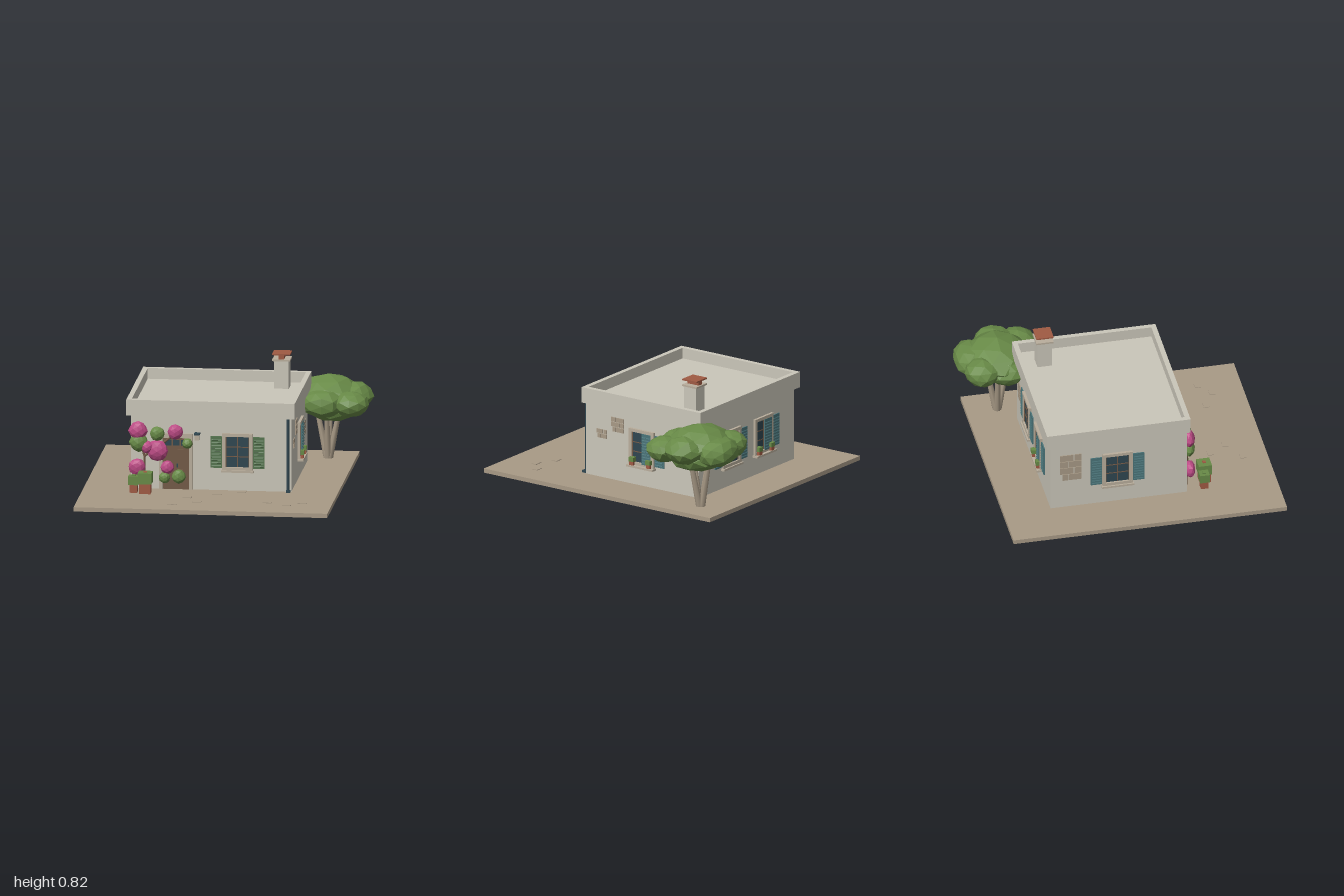
import * as THREE from 'three';

const mat = (name, color, flat = false) => {
  const m = new THREE.MeshStandardMaterial({ color, flatShading: flat });
  m.name = name;
  return m;
};

export function createModel() {
  const model = new THREE.Group();
  model.name = 'house';
  const wall = mat('plaster', 0xcac6b9), stone = mat('earthStone', 0xa89a86);
  const trim = mat('trim', 0xb9ae9c), glass = mat('darkGlass', 0x2f4650);
  const wood = mat('wood', 0x735a47), clay = mat('terracotta', 0xa05a43);
  const leaf = mat('leaf', 0x688a47, true), pink = mat('blossom', 0xbb4a84, true);
  const green = mat('greenPaint', 0x55754f), teal = mat('tealPaint', 0x4a7479);

  const add = (name, geo, m, parent = model) => {
    const mesh = new THREE.Mesh(geo, m);
    mesh.name = name;
    parent.add(mesh);
    return mesh;
  };
  // Box given by its lower and upper corners
  const box = (name, m, x0, x1, y0, y1, z0, z1, parent = model) => {
    const b = add(name, new THREE.BoxGeometry(x1 - x0, y1 - y0, z1 - z0), m, parent);
    b.position.set((x0 + x1) / 2, (y0 + y1) / 2, (z0 + z1) / 2);
    return b;
  };
  // Faceted, slightly irregular ball
  const blob = (name, m, p, r, seed, detail = 1) => {
    const g = new THREE.IcosahedronGeometry(1, detail), a = g.attributes.position;
    const v = new THREE.Vector3();
    for (let i = 0; i < a.count; i++) {
      v.fromBufferAttribute(a, i);
      const n = Math.sin(v.x * 5.3 + seed) + Math.sin(v.y * 6.1 + seed * 2) + Math.sin(v.z * 4.7 + seed * 3);
      v.multiplyScalar(1 + n * 0.03);
      a.setXYZ(i, v.x, v.y, v.z);
    }
    g.scale(...r);
    g.computeVertexNormals();
    add(name, g, m).position.set(...p);
  };
  // Tapered rod between two points
  const rod = (name, m, a, b, r0, r1) => {
    const A = new THREE.Vector3(...a), B = new THREE.Vector3(...b), d = B.clone().sub(A);
    const c = add(name, new THREE.CylinderGeometry(r1, r0, d.length(), 7), m);
    c.position.copy(A).add(B).multiplyScalar(0.5);
    c.quaternion.setFromUnitVectors(new THREE.Vector3(0, 1, 0), d.normalize());
  };

  // Ground, with loose flat paving corners
  box('ground', stone, -0.935, 0.805, 0, 0.03, -0.905, 1);
  [[-0.28, 0.83], [-0.12, 0.74], [-0.01, 0.5], [0.15, 0.42], [0.36, 0.71], [0.6, 0.7], [-0.2, 0.62], [0.5, 0.78]]
    .forEach(([x, z]) => box('pavingStone', stone, x - 0.03, x + 0.03, 0.03, 0.034, z - 0.02, z + 0.02));

  // Walls, roof and parapet
  box('walls', wall, -0.615, 0.485, 0.03, 0.54, -0.58, 0.37);
  box('roof', wall, -0.62, 0.485, 0.54, 0.575, -0.585, 0.365);
  const rect = (P, x0, x1, y0, y1) => {
    const s = new P();
    s.moveTo(x0, y0).lineTo(x1, y0).lineTo(x1, y1).lineTo(x0, y1).closePath();
    return s;
  };
  // moveTo/lineTo return the path, so each outline is built in one chain
  const ring = rect(THREE.Shape, -0.645, 0.51, -0.39, 0.61);
  ring.holes.push(rect(THREE.Path, -0.61, 0.475, -0.355, 0.575));
  const parapet = add('parapet', new THREE.ExtrudeGeometry(ring, { depth: 0.11, bevelEnabled: false }), wall);
  parapet.rotation.x = -Math.PI / 2;
  parapet.position.y = 0.54;

  // Chimney
  box('chimneyStack', wall, 0.28, 0.38, 0.57, 0.77, -0.48, -0.38);
  box('chimneySlab', trim, 0.267, 0.39, 0.768, 0.78, -0.49, -0.37);
  box('chimneyPot', clay, 0.31, 0.347, 0.78, 0.812, -0.478, -0.382);
  box('chimneyCap', clay, 0.267, 0.39, 0.81, 0.82, -0.49, -0.37);

  // Shutter with slats, in window coordinates
  const shutter = (g, m, x0, x1, z) => {
    box('shutterPanel', m, x0, x1, 0.187, 0.407, z, z + 0.008, g);
    for (let i = 0; i < 10; i++) {
      const s = box('shutterSlat', m, x0 + 0.007, x1 - 0.007, 0.2 + i * 0.02, 0.206 + i * 0.02, z + 0.006, z + 0.013, g);
      s.rotation.x = -0.4;
    }
  };
  // Window: x to the viewer's right, z out of the wall
  const windowAt = (x, z, turn, paint, halfClosed = false) => {
    const g = new THREE.Group();
    g.name = 'window';
    g.position.set(x, 0, z);
    g.rotation.y = turn;
    model.add(g);
    box('glassPane', glass, -0.085, 0.085, 0.19, 0.41, 0, 0.006, g);
    for (const s of [-1, 1]) {
      box('frameSide', trim, s * 0.093 - 0.012, s * 0.093 + 0.012, 0.175, 0.43, 0, 0.018, g);
      box('sashSide', wood, s * 0.079 - 0.003, s * 0.079 + 0.003, 0.19, 0.41, 0, 0.01, g);
    }
    box('frameTop', trim, -0.105, 0.105, 0.408, 0.43, 0, 0.019, g);
    box('frameBottom', trim, -0.105, 0.105, 0.172, 0.195, 0, 0.019, g);
    box('windowSill', trim, -0.112, 0.112, 0.16, 0.174, 0, halfClosed ? 0.042 : 0.03, g);
    box('mullion', wood, -0.004, 0.004, 0.195, 0.41, 0, 0.01, g);
    for (const y of [0.268, 0.335]) box('glazingBar', wood, -0.08, 0.08, y - 0.003, y + 0.003, 0, 0.009, g);
    shutter(g, paint, 0.107, 0.186, 0.002);
    if (halfClosed) {
      shutter(g, paint, 0.003, 0.081, 0.012);
      for (const px of [-0.07, 0.07]) {
        box('sillPot', clay, px - 0.016, px + 0.016, 0.174, 0.2, 0.008, 0.038, g);
        box('sillPlant', leaf, px - 0.02, px + 0.02, 0.2, 0.23, 0.005, 0.042, g);
      }
    } else shutter(g, paint, -0.186, -0.107, 0.002);
  };
  windowAt(0.117, 0.37, 0, green);
  windowAt(0.485, -0.106, Math.PI / 2, teal, true);
  windowAt(0.12, -0.58, Math.PI, teal);
  windowAt(-0.25, -0.58, Math.PI, teal, true);
  windowAt(-0.615, -0.115, -Math.PI / 2, teal);

  // Patches of bare stone: rows of thin blocks on a wall
  const patch = (x, z, turn, w, y0, y1, rows) => {
    const g = new THREE.Group();
    g.name = 'bareStonePatch';
    g.position.set(x, 0, z);
    g.rotation.y = turn;
    model.add(g);
    const h = (y1 - y0) / rows;
    for (let i = 0; i < rows; i++) {
      const split = (i % 2 ? 0.15 : -0.12) * w, inset = i === 0 ? 0.12 * w : 0;
      box('stoneBlock', stone, -w / 2 + inset, split - 0.003, y0 + i * h, y0 + (i + 1) * h - 0.004, 0, 0.006, g);
      box('stoneBlock', stone, split + 0.003, w / 2, y0 + i * h, y0 + (i + 1) * h - 0.004, 0, 0.006, g);
    }
  };
  patch(0.485, 0.237, Math.PI / 2, 0.086, 0.31, 0.375, 2);
  patch(0.485, 0.103, Math.PI / 2, 0.106, 0.375, 0.48, 3);
  patch(0.485, -0.388, Math.PI / 2, 0.118, 0.258, 0.36, 3);
  patch(0.375, -0.58, Math.PI, 0.13, 0.25, 0.38, 3);
  patch(-0.615, -0.44, -Math.PI / 2, 0.15, 0.25, 0.46, 4);

  // Door with frame, top lights and handle
  box('door', wood, -0.395, -0.215, 0.03, 0.39, 0.36, 0.376);
  box('doorFrameLeft', trim, -0.215, -0.19, 0.03, 0.42, 0.36, 0.39);
  box('doorFrameRight', trim, -0.42, -0.395, 0.03, 0.42, 0.36, 0.39);
  box('doorFrameTop', trim, -0.42, -0.19, 0.39, 0.42, 0.36, 0.39);
  for (const x of [-0.38, -0.325, -0.27]) box('doorLight', glass, x, x + 0.045, 0.335, 0.375, 0.375, 0.38);
  for (const y of [0.06, 0.2]) for (const x of [-0.378, -0.295])
    box('doorPanel', wood, x, x + 0.065, y, y + 0.11, 0.375, 0.381);
  box('doorHandle', glass, -0.3, -0.29, 0.185, 0.21, 0.375, 0.392);

  // Wall lamp
  box('lampBody', trim, -0.172, -0.142, 0.385, 0.42, 0.385, 0.42);
  box('lampCap', glass, -0.177, -0.139, 0.42, 0.43, 0.37, 0.427);

  // Downpipe
  rod('downpipe', glass, [0.464, 0.04, 0.385], [0.464, 0.54, 0.385], 0.01, 0.01);
  box('downpipeFoot', glass, 0.452, 0.48, 0.03, 0.045, 0.372, 0.41);

  // Climbing plant beside the door
  [[-0.525, 0.03, -0.52, 0.26], [-0.52, 0.26, -0.56, 0.4], [-0.52, 0.26, -0.42, 0.33], [-0.42, 0.33, -0.31, 0.42]]
    .forEach(([a, b, c, d]) => rod('vineStem', wood, [a, b, 0.385], [c, d, 0.39], 0.009, 0.007));
  const climber = (m, name, list) => list.forEach(([x, y, r], i) =>
    blob(name, m, [x, y, 0.395 + (i % 2) * 0.004], [r, r, 0.034 + r * 0.08], i * 1.7 + 1));
  climber(pink, 'blossomCluster', [[-0.563, 0.435, 0.065], [-0.308, 0.435, 0.053], [-0.43, 0.3, 0.072],
    [-0.568, 0.185, 0.06], [-0.362, 0.185, 0.048], [-0.5, 0.325, 0.045]]);
  climber(leaf, 'leafCluster', [[-0.558, 0.355, 0.065], [-0.432, 0.42, 0.05], [-0.225, 0.355, 0.036],
    [-0.38, 0.115, 0.04], [-0.284, 0.122, 0.05]]);

  // Potted shrubs
  box('smallPot', clay, -0.608, -0.555, 0.03, 0.087, 0.47, 0.522);
  box('smallShrub', leaf, -0.617, -0.548, 0.085, 0.145, 0.463, 0.53);
  box('smallShrubTip', leaf, -0.595, -0.57, 0.145, 0.153, 0.485, 0.508);
  box('largePot', clay, -0.538, -0.46, 0.03, 0.102, 0.477, 0.553);
  box('largeShrub', leaf, -0.548, -0.453, 0.1, 0.175, 0.468, 0.56);
  box('largeShrubTip', clay, -0.512, -0.488, 0.175, 0.18, 0.503, 0.526);

  // Tree: splayed trunks under a flattened crown
  [[0.53, -0.7], [0.61, -0.62], [0.7, -0.66], [0.62, -0.77]].forEach(([x, z]) =>
    rod('trunk', stone, [0.615 + (x - 0.615) * 0.12, 0.03, -0.69 + (z + 0.69) * 0.12], [x, 0.4, z], 0.024, 0.016));
  [[0.62, 0.475, -0.69, 0.24, 0.135, 0.23], [0.47, 0.46, -0.82, 0.135, 0.095, 0.13],
    [0.65, 0.455, -0.86, 0.165, 0.1, 0.135], [0.8, 0.47, -0.68, 0.13, 0.095, 0.14],
    [0.79, 0.45, -0.51, 0.125, 0.09, 0.12], [0.6, 0.45, -0.52, 0.15, 0.1, 0.135],
    [0.65, 0.4, -0.68, 0.19, 0.11, 0.18], [0.48, 0.44, -0.65, 0.13, 0.1, 0.14]]
    .forEach(([x, y, z, a, b, c], i) => blob('treeCrown', leaf, [x, y, z], [a, b, c], i * 2.3 + 0.5));

  return model;
}
